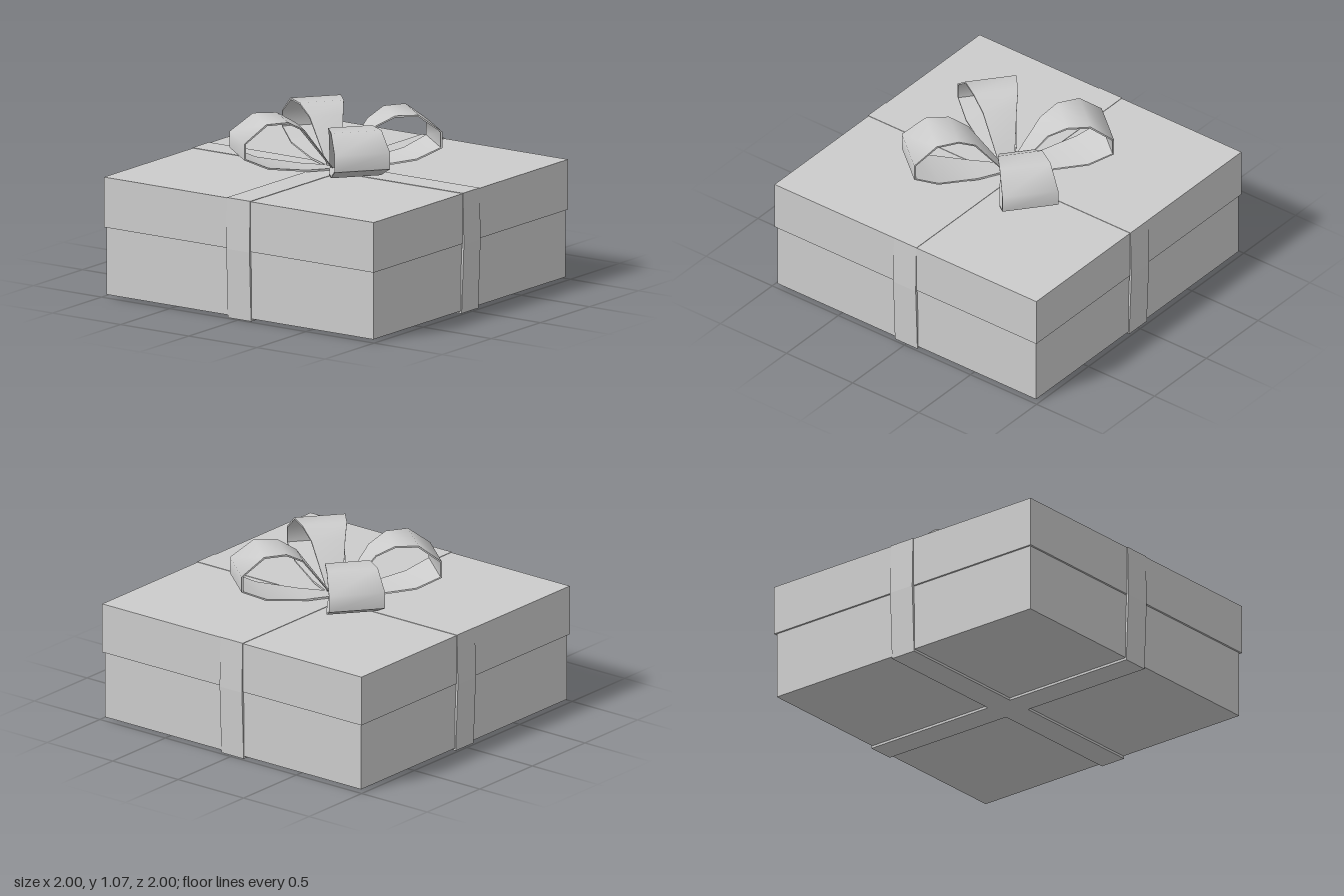
import * as THREE from 'three';
import { toCreasedNormals } from 'three/addons/utils/BufferGeometryUtils.js';

const material = new THREE.MeshStandardMaterial({ color: 0xcccccc, side: THREE.DoubleSide });

function addBox(parent, name, width, bottom, top) {
  const mesh = new THREE.Mesh(new THREE.BoxGeometry(width, top - bottom, width), material);
  mesh.name = name;
  mesh.position.y = (bottom + top) / 2;
  parent.add(mesh);
}

// Closed ring of ribbon, extruded along z and centred on it
function ringGeometry(outer, inner, width) {
  const toPoints = (list) => list.map(([x, y]) => new THREE.Vector2(x, y));
  const shape = new THREE.Shape(toPoints(outer));
  shape.holes.push(new THREE.Path(toPoints(inner)));
  const geometry = new THREE.ExtrudeGeometry(shape, { depth: width, bevelEnabled: false });
  return geometry.translate(0, 0, -width / 2);
}

// Mirrors a half profile (listed bottom to top) into a closed outline
const mirrored = (half) => [...half, ...half.map(([x, y]) => [-x, y]).reverse()];

// One bow loop: thin teardrop ring that fans out away from the knot
function loopGeometry() {
  const outer = [
    [0.02, 0.735], [0.2, 0.747], [0.46, 0.79], [0.61, 0.86], [0.61, 0.96],
    [0.47, 1.067], [0.33, 1.067], [0.22, 1.005], [0.035, 0.755],
  ];
  const inner = outer.map(([x, y]) => [0.36 + (x - 0.36) * 0.96, 0.92 + (y - 0.92) * 0.93]);
  const geometry = ringGeometry(outer, inner, 2);
  const p = geometry.attributes.position;
  for (let i = 0; i < p.count; i++) {
    const r = p.getX(i);
    const halfWidth = r < 0.35 ? 0.037 + 0.3 * r : 0.142 + 0.11 * (r - 0.35);
    p.setZ(i, p.getZ(i) * halfWidth);
  }
  return toCreasedNormals(geometry, 1.05);
}

export function createModel() {
  const model = new THREE.Group();
  model.name = 'giftBox';

  addBox(model, 'boxBody', 1.956, 0.015, 0.5);
  addBox(model, 'lid', 1.98, 0.428, 0.735);

  // Two crossing ribbon bands wrapped right around the box
  const bandOuter = mirrored([[0.983, 0], [1, 0.425], [0.993, 0.738]]);
  const bandInner = mirrored([[0.97, 0.017], [0.985, 0.425], [0.98, 0.73]]);
  const band = ringGeometry(bandOuter, bandInner, 0.17);
  ['ribbonAcross', 'ribbonFrontToBack'].forEach((name, i) => {
    const mesh = new THREE.Mesh(band, material);
    mesh.name = name;
    mesh.rotation.y = i * Math.PI / 2;
    model.add(mesh);
  });

  // Bow of four loops
  const bow = new THREE.Group();
  bow.name = 'bow';
  const loop = loopGeometry();
  for (let i = 0; i < 4; i++) {
    const mesh = new THREE.Mesh(loop, material);
    mesh.name = `bowLoop${i + 1}`;
    mesh.rotation.y = -0.686 + i * Math.PI / 2;
    bow.add(mesh);
  }
  model.add(bow);
  return model;
}
